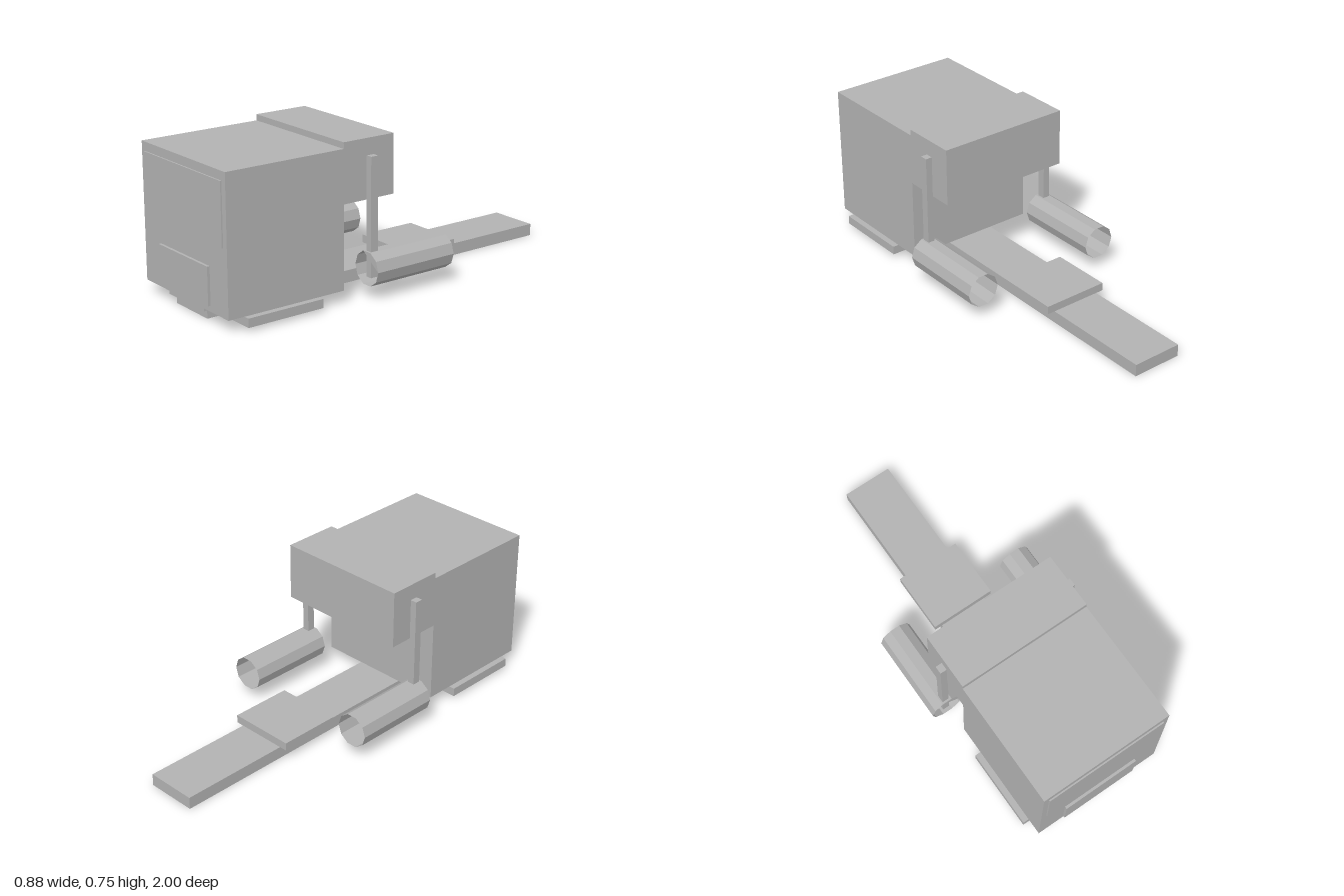
import * as THREE from 'three';

const grey = new THREE.MeshStandardMaterial({ color: 0xb2b2b2, flatShading: true, side: THREE.DoubleSide });
grey.name = 'plain grey';

// Box given by its limits on each axis
function box(name, [x0, x1], [y0, y1], [z0, z1]) {
  const mesh = new THREE.Mesh(new THREE.BoxGeometry(x1 - x0, y1 - y0, z1 - z0), grey);
  mesh.position.set((x0 + x1) / 2, (y0 + y1) / 2, (z0 + z1) / 2);
  mesh.name = name;
  return mesh;
}
const centred = (name, half, y, z) => box(name, [-half, half], y, z);

// Open ten-sided tank lying along z, with a partial lid at the front
function tank(x) {
  const group = new THREE.Group();
  const radius = 0.084, length = 0.45;
  const shell = new THREE.CylinderGeometry(radius, radius, length, 10, 1, true);
  shell.rotateY(Math.PI / 2).rotateX(Math.PI / 2);
  const shellMesh = new THREE.Mesh(shell, grey);
  shellMesh.name = 'tankShell';

  const lid = new THREE.Shape([0, 1, 2, 3].map((i) => {
    const a = (i * Math.PI) / 5;
    return new THREE.Vector2(radius * Math.cos(a), radius * Math.sin(a));
  }));
  const lidMesh = new THREE.Mesh(new THREE.ShapeGeometry(lid), grey);
  lidMesh.position.z = length / 2;
  lidMesh.name = 'tankLid';

  group.add(shellMesh, lidMesh);
  group.position.set(x, 0.144, 0.022);
  group.name = 'fuelTank';
  return group;
}

export function createModel() {
  const truck = new THREE.Group();
  truck.name = 'tractorTruck';
  truck.add(
    // Chassis and coupling plate
    centred('chassis', 0.127, [0, 0.06], [-1, 0.96]),
    centred('couplingPlate', 0.167, [0.06, 0.1], [-0.445, -0.135]),
    centred('sideSteps', 0.37, [0.017, 0.06], [0.505, 0.905]),
    // Cab
    centred('cab', 0.34, [0.06, 0.72], [0.365, 0.987]),
    centred('sleeper', 0.34, [0.465, 0.75], [0.083, 0.365]),
    centred('windshield', 0.312, [0.38, 0.677], [0.987, 0.994]),
    centred('grille', 0.2, [0.088, 0.27], [0.987, 1]),
    centred('bumper', 0.143, [0.045, 0.06], [0.92, 0.987])
  );
  // Exhaust stacks and tanks on both sides
  for (const side of [-1, 1]) {
    const stack = box('exhaustStack', [-0.0175, 0.0175], [0.1, 0.67], [0.198, 0.237]);
    stack.position.x = side * 0.3555;
    truck.add(stack, tank(side * 0.354));
  }
  return truck;
}
